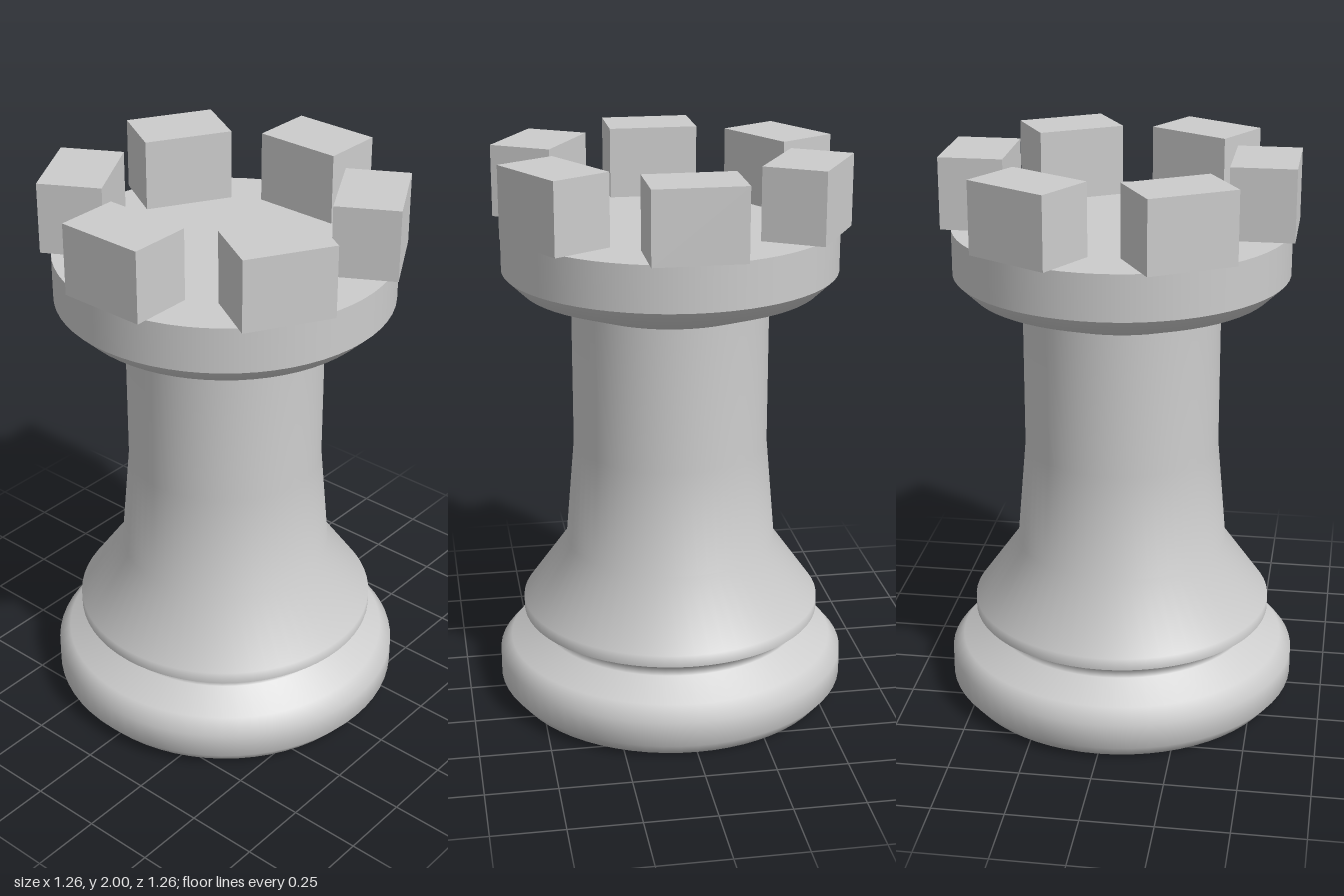
import * as THREE from 'three';

export function createModel() {
  const group = new THREE.Group();
  const stone = new THREE.MeshStandardMaterial({ color: 0xcccccc });
  stone.name = 'light grey';

  // each turned section is smooth inside and meets its neighbours at a sharp edge
  const turn = (name, profile) => {
    const points = profile.map(([r, y]) => new THREE.Vector2(r, y));
    const mesh = new THREE.Mesh(new THREE.LatheGeometry(points, 64), stone);
    mesh.name = name;
    group.add(mesh);
  };

  turn('base', [
    [0, 0], [0.59, 0], [0.632, 0.05], [0.632, 0.14], [0.59, 0.19],
    [0.475, 0.24], [0.475, 0.27], [0.54, 0.307],
  ]);
  turn('shaft', [
    [0.54, 0.307], [0.54, 0.35], [0.38, 0.575], [0.347, 0.95], [0.347, 1.465],
  ]);
  turn('collar', [[0.347, 1.465], [0.525, 1.53], [0.587, 1.59]]);
  turn('rim', [[0.587, 1.59], [0.587, 1.75]]);
  turn('platform', [[0.587, 1.75], [0, 1.75]]);

  // six battlements, slightly overhanging the rim
  const block = new THREE.BoxGeometry(0.315, 0.25, 0.222);
  block.translate(0, 1.875, 0.492);
  for (let i = 0; i < 6; i++) {
    const battlement = new THREE.Mesh(block, stone);
    battlement.name = 'battlement' + (i + 1);
    battlement.rotation.y = (i * Math.PI) / 3;
    group.add(battlement);
  }
  return group;
}
